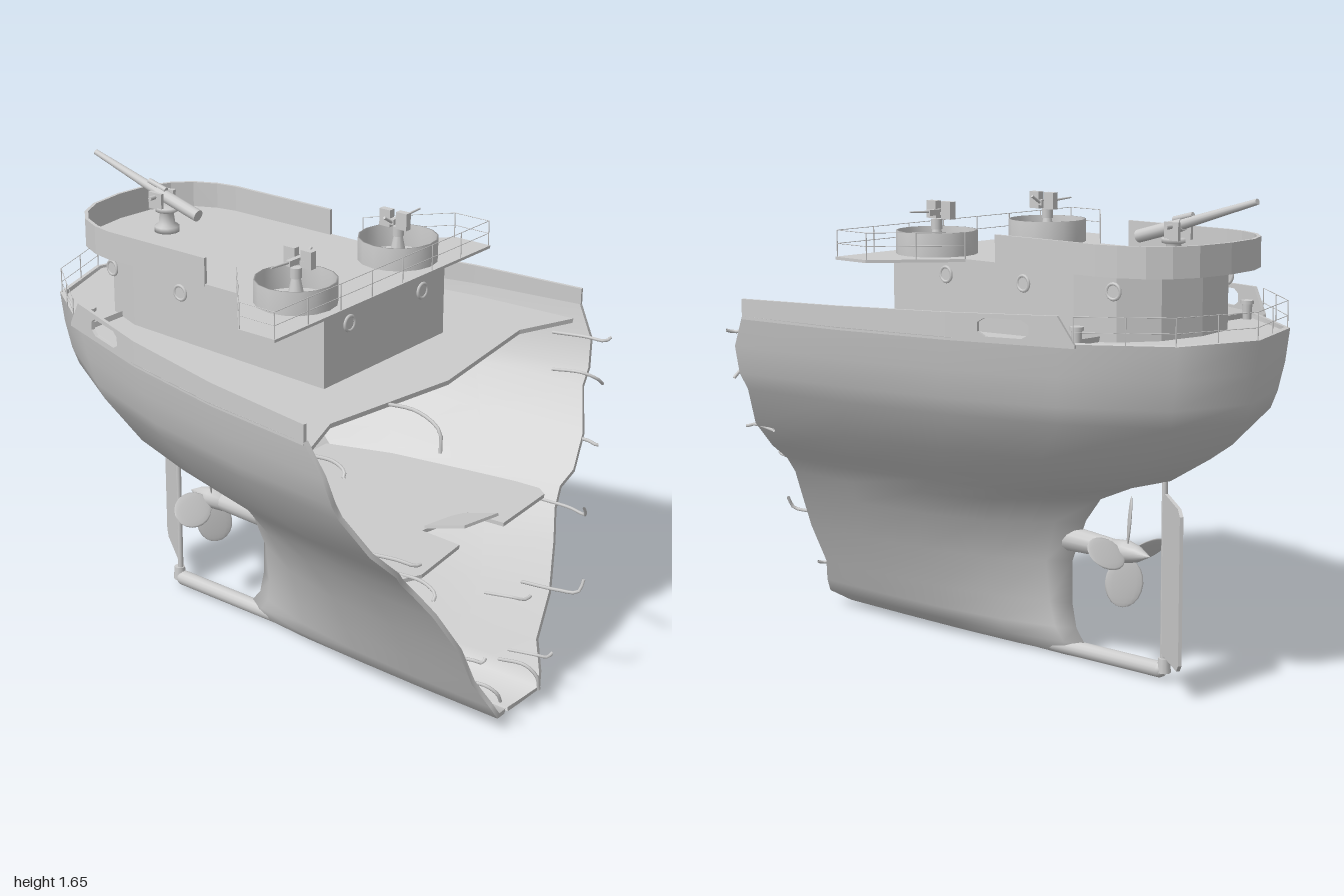
import * as THREE from 'three';

const mat = new THREE.MeshStandardMaterial({ color: 0xcccccc, side: THREE.DoubleSide });
const V = (x, y, z) => new THREE.Vector3(x, y, z);

function mesh(name, geo, parent, x = 0, y = 0, z = 0) {
  const m = new THREE.Mesh(geo, mat);
  m.name = name;
  m.position.set(x, y, z);
  parent.add(m);
  return m;
}
// Adds a copy reflected across x = 0
function mirror(obj, parent) {
  const g = new THREE.Group();
  g.name = obj.name + 'Mirrored';
  g.scale.x = -1;
  g.add(obj.clone());
  parent.add(g);
}
// Horizontal plate from [x, z] points
function plate(pts, h) {
  const s = new THREE.Shape(pts.map(([x, z]) => new THREE.Vector2(x, -z)));
  return new THREE.ExtrudeGeometry(s, { depth: h, bevelEnabled: false }).rotateX(-Math.PI / 2);
}
// Completes a half outline that runs from +x to the centre line
const both = (half) => [...half, ...half.filter((p) => p[0] > 0).reverse().map(([x, z]) => [-x, z])];

// Surface through rows of points
function grid(rows) {
  const n = rows[0].length, idx = [];
  for (let i = 0; i < rows.length - 1; i++)
    for (let j = 0; j < n - 1; j++) {
      const a = i * n + j, b = a + n;
      idx.push(a, a + 1, b + 1, a, b + 1, b);
    }
  const g = new THREE.BufferGeometry().setFromPoints(rows.flat());
  g.setIndex(idx);
  g.computeVertexNormals();
  return g;
}
// Straight rod between two points
function rod(name, a, b, r, parent, r2 = r, seg = 6) {
  const d = b.clone().sub(a);
  const m = mesh(name, new THREE.CylinderGeometry(r2, r, d.length(), seg), parent);
  m.position.copy(a).addScaledVector(d, 0.5);
  m.quaternion.setFromUnitVectors(V(0, 1, 0), d.normalize());
}
// Posts and two rails along [x, z] points
function railing(name, pts, y, h, parent) {
  const g = new THREE.Group();
  g.name = name;
  parent.add(g);
  pts.forEach(([x, z], i) => {
    rod('post', V(x, y, z), V(x, y + h, z), 0.002, g);
    if (!i) return;
    const [px, pz] = pts[i - 1];
    const n = Math.max(1, Math.round(Math.hypot(x - px, z - pz) / 0.17));
    for (let k = 1; k < n; k++) {
      const qx = px + (x - px) * k / n, qz = pz + (z - pz) * k / n;
      rod('post', V(qx, y, qz), V(qx, y + h, qz), 0.002, g);
    }
    for (const f of [0.5, 1]) rod('rail', V(px, y + h * f, pz), V(x, y + h * f, z), 0.0013, g);
  });
}

function hull(parent) {
  // Waterlines: height, half width, broken front z, stern z
  const levels = [
    [0.005, 0.01, 0.88, -0.25], [0.015, 0.06, 0.89, -0.26], [0.06, 0.13, 0.93, -0.26], [0.11, 0.157, 0.915, -0.22],
    [0.2, 0.2, 0.87, -0.2], [0.35, 0.275, 0.865, -0.2], [0.5, 0.36, 0.82, -0.26], [0.59, 0.42, 0.78, -0.33],
    [0.65, 0.47, 0.765, -0.47], [0.7, 0.52, 0.785, -0.64], [0.8, 0.62, 0.755, -0.81], [0.94, 0.7, 0.695, -0.95],
    [1.0, 0.735, 0.695, -0.97], [1.1, 0.765, 0.68, -0.99], [1.21, 0.78, 0.62, -1]];
  const U = [0, 0.26, 0.52, 0.75, 0.94, 1];
  const rows = levels.map(([y, w, zf, zs]) => {
    const F = y < 0.62 ? [1, 0.96, 0.85, 0.62, 0.24, 0] : [1, 0.93, 0.81, 0.64, 0.37, 0];
    return both(U.map((u, i) => [w * F[i], zf + (zs - zf) * u])).map(([x, z]) => V(x, y, z));
  });
  const outer = grid(rows), nrm = outer.attributes.normal, n = rows[0].length;
  mesh('hullPlating', outer, parent);
  // Inner skin follows the outer one at plate thickness and ends at a flat bulkhead
  const inner = rows.map((r, i) => r.map((p, j) =>
    p.clone().addScaledVector(V(0, 0, 0).fromBufferAttribute(nrm, i * n + j), -0.018)));
  for (const [a, b] of [[0, 4], [7, 11]])
    mesh('hullInnerSkin', grid(inner.map((r) => r.slice(a, b).reverse())), parent);
  mesh('bulkhead', grid(inner.map((r) => [r[7], r[3]])), parent);
  for (const j of [0, n - 1]) mesh('tornHullEdge', grid(rows.map((r, i) => [r[j], inner[i][j]])), parent);
  mesh('hullTopEdge', grid([rows.at(-1), inner.at(-1)]), parent);
}

function bulwark(parent) {
  const pts = [[0.78, 0.62], [0.725, 0.2], [0.632, -0.22], [0.49, -0.65]];
  const tops = [1.27, 1.28, 1.29, 1.3];
  for (let i = 0; i < 3; i++) {
    const [ax, az] = pts[i], [bx, bz] = pts[i + 1], L = Math.hypot(bx - ax, bz - az);
    const end = i === 2 ? L - 0.06 : L;
    const s = new THREE.Shape([[0, 1.2], [L, 1.2], [L, 1.21], [end, tops[i + 1]], [0, tops[i]]].map((p) => new THREE.Vector2(...p)));
    if (i === 2) {
      // Mooring opening
      const h = [[0.14, 1.22], [0.27, 1.22], [0.295, 1.235], [0.295, 1.265], [0.27, 1.28], [0.14, 1.28], [0.115, 1.265], [0.115, 1.235]];
      s.holes.push(new THREE.Path(h.map((p) => new THREE.Vector2(...p))));
    }
    const m = mesh('bulwark', new THREE.ExtrudeGeometry(s, { depth: 0.012, bevelEnabled: false }), parent, ax, 0, az);
    m.rotation.y = Math.atan2(az - bz, bx - ax);
    m.translateZ(-0.012);
    mirror(m, parent);
  }
}

function superstructure(parent) {
  mesh('deckhouse', plate(both([[0.33, 0.34], [0.33, -0.5], [0.28, -0.64], [0.17, -0.735], [0, -0.765]]), 0.255), parent, 0, 1.16, 0);
  const curve = [[0.34, -0.6], [0.325, -0.68], [0.285, -0.765], [0.225, -0.825], [0.14, -0.865], [0, -0.88]];
  mesh('upperDeck', plate(both([[0.59, 0.35], [0.59, 0.2], [0.34, -0.02], ...curve]), 0.01), parent, 0, 1.41, 0);
  // Stern gun platform wall
  const out = both([[0.342, -0.16], ...curve]);
  const inn = out.map(([x, z]) => [x * 0.965, z < -0.55 ? -0.55 + (z + 0.55) * 0.965 : z]).reverse();
  mesh('gunPlatformWall', plate([...out, ...inn], 0.1), parent, 0, 1.412, 0);
  railing('wingRailing', [[0.34, -0.02], [0.585, 0.2], [0.585, 0.345], [-0.585, 0.345], [-0.585, 0.2], [-0.34, -0.02]], 1.42, 0.09, parent);
  railing('sternRailing', both([[0.485, -0.64], [0.385, -0.77], [0.287, -0.893], [0.14, -0.943], [0, -0.992]]), 1.2, 0.1, parent);
  // Portholes
  const ring = new THREE.TorusGeometry(0.025, 0.006, 6, 16);
  for (const [x, z, q] of [[0.2, 0.342, 0], [0.332, 0.08, 1], [0.332, -0.28, 1], [0.29, -0.635, 1.1]]) {
    const g = new THREE.Group();
    g.name = 'porthole';
    g.position.set(x, 1.36, z);
    g.rotation.y = q * Math.PI / 2;
    mesh('rim', ring, g);
    mesh('glass', new THREE.CircleGeometry(0.022, 16), g, 0, 0, 0.002);
    parent.add(g);
    mirror(g, parent);
  }
}

function sideGun(parent) {
  const g = new THREE.Group();
  g.name = 'sideGun';
  g.position.set(0.277, 1.42, 0.18);
  const tub = [[0.14, 0], [0.14, 0.08], [0.134, 0.08], [0.134, 0]].map((p) => new THREE.Vector2(...p));
  mesh('tub', new THREE.LatheGeometry(tub, 16), g);
  mesh('pedestal', new THREE.CylinderGeometry(0.014, 0.032, 0.09, 10), g, 0, 0.045, 0);
  mesh('mount', new THREE.CylinderGeometry(0.02, 0.02, 0.035, 10), g, 0, 0.1, 0);
  mesh('receiver', new THREE.BoxGeometry(0.08, 0.02, 0.018), g, 0, 0.14, 0);
  rod('barrel', V(0.03, 0.143, 0), V(0.125, 0.148, 0), 0.005, g, 0.003);
  for (const z of [-0.035, 0.035]) mesh('shield', new THREE.BoxGeometry(0.025, 0.06, 0.045), g, -0.02, 0.147, z);
  mesh('shieldBrace', new THREE.BoxGeometry(0.01, 0.01, 0.08), g, -0.012, 0.135, 0);
  rod('shoulderRest', V(-0.04, 0.14, 0), V(-0.08, 0.165, 0), 0.005, g);
  parent.add(g);
  mirror(g, parent);
}

function mainGun(parent) {
  const g = new THREE.Group();
  g.name = 'sternGun';
  g.position.set(0, 1.42, -0.64);
  const base = [[0, 0], [0.045, 0], [0.045, 0.02], [0.03, 0.03], [0.025, 0.07], [0.04, 0.075], [0.04, 0.09], [0, 0.09]];
  mesh('pedestal', new THREE.LatheGeometry(base.map((p) => new THREE.Vector2(...p)), 14), g);
  for (const x of [-0.032, 0.032]) mesh('cradle', new THREE.BoxGeometry(0.012, 0.06, 0.06), g, x, 0.115, -0.02);
  rod('trunnion', V(-0.065, 0.13, -0.02), V(0.065, 0.13, -0.02), 0.008, g);
  rod('breech', V(0, 0.085, 0.15), V(0, 0.137, -0.04), 0.022, g, 0.022, 12);
  rod('barrel', V(0, 0.132, -0.02), V(0, 0.228, -0.34), 0.018, g, 0.01, 12);
  rod('recoilTube', V(0, 0.15, 0), V(0, 0.17, -0.08), 0.01, g, 0.01, 8);
  parent.add(g);
}

function sternGear(parent) {
  // Keel extension carrying the rudder
  const skeg = mesh('skeg', new THREE.CapsuleGeometry(0.028, 0.5, 6, 14).rotateX(Math.PI / 2), parent, 0, 0.038, -0.35);
  skeg.rotation.x = 0.015;
  mesh('rudderHeel', new THREE.CylinderGeometry(0.02, 0.024, 0.05, 10), parent, 0, 0.06, -0.62);
  // Rudder, put hard over
  const s = new THREE.Shape([[0, 0.1], [0.225, 0.105], [0.25, 0.13], [0.25, 0.63], [0.22, 0.65], [0.04, 0.66], [0, 0.64]].map((p) => new THREE.Vector2(...p)));
  const blade = mesh('rudder', new THREE.ExtrudeGeometry(s, { depth: 0.012, bevelEnabled: false }).translate(0, 0, -0.006), parent, 0, 0, -0.612);
  blade.rotation.y = Math.PI * 0.295;
  rod('rudderPost', V(0, 0.04, -0.615), V(0, 0.72, -0.615), 0.01, parent, 0.01, 8);
  // Propeller
  rod('shaftHousing', V(0, 0.43, -0.17), V(0, 0.425, -0.4), 0.046, parent, 0.034, 12);
  const prop = new THREE.Group();
  prop.name = 'propeller';
  prop.position.set(0, 0.425, -0.45);
  const hub = [[0, -0.06], [0.036, -0.06], [0.04, 0], [0.028, 0.05], [0, 0.105]];
  mesh('hub', new THREE.LatheGeometry(hub.map((p) => new THREE.Vector2(...p)), 14).rotateX(-Math.PI / 2), prop);
  for (let i = 0; i < 4; i++) {
    const arm = new THREE.Group();
    arm.name = 'bladeArm';
    arm.rotation.z = i * Math.PI / 2 + 0.12;
    const b = mesh('blade', new THREE.SphereGeometry(1, 14, 10).scale(0.066, 0.085, 0.006), arm, 0, 0.107, 0);
    b.rotation.y = 0.75;
    prop.add(arm);
  }
  parent.add(prop);
}

function wreckage(parent) {
  // Lower deck, torn at its front, with a bent-up plate
  const aft = both([[0.425, 0.6], [0.4, 0.44], [0.345, 0.12], [0.26, -0.13]]);
  const torn = [[-0.43, 0.74], [-0.36, 0.77], [-0.11, 0.74], [-0.1, 0.58], [0.11, 0.62], [0.12, 0.76], [0.4, 0.74], [0.43, 0.7]];
  mesh('lowerDeck', plate([...aft, ...torn], 0.014), parent, 0, 0.63, 0);
  const p = mesh('bentPlate', new THREE.BoxGeometry(0.19, 0.01, 0.17), parent, 0, 0.67, 0.67);
  p.rotation.set(-0.3, 0, -0.12);
  // Twisted rods: x, y, start z, reach, sideways bend, drop
  const rods = [[-0.72, 1.14, 0.64, 0.11, -0.03, -0.02], [-0.27, 1.15, 0.58, 0.2, -0.02, -0.1], [0.66, 1.13, 0.64, 0.14, 0.06, 0.01],
    [0.62, 1.01, 0.67, 0.1, 0.08, -0.04], [-0.57, 0.78, 0.75, 0.13, 0.05, 0], [0.6, 0.78, 0.74, 0.08, 0.01, 0],
    [-0.4, 0.64, 0.74, 0.14, -0.05, -0.02], [0.4, 0.62, 0.76, 0.18, -0.06, 0.05], [0.02, 0.42, 0.82, 0.08, 0.07, 0.005],
    [0.23, 0.38, 0.83, 0.16, 0.05, 0.06], [-0.2, 0.28, 0.84, 0.06, 0.03, 0.02], [-0.17, 0.18, 0.86, 0.08, 0.04, -0.05],
    [0.06, 0.16, 0.86, 0.09, 0.03, -0.08], [0.12, 0.17, 0.86, 0.08, 0.06, 0.01]];
  for (const [x, y, z, r, dx, dy] of rods) {
    const c = new THREE.CatmullRomCurve3([V(x, y, z - 0.06), V(x + dx * 0.2, y + 0.01, z + r * 0.5),
      V(x + dx * 0.6, y + dy * 0.3, z + r * 0.95), V(x + dx, y + dy, z + r)]);
    mesh('twistedRod', new THREE.TubeGeometry(c, 12, 0.006, 6), parent);
  }
}

export function createModel() {
  const ship = new THREE.Group();
  ship.name = 'brokenShipStern';
  hull(ship);
  bulwark(ship);
  // Main deck, rising slightly toward the stern
  const deck = both([[0.71, 0.2], [0.615, -0.22], [0.48, -0.59], [0.275, -0.88], [0, -0.975]]);
  const d = mesh('mainDeck', plate([[0.76, 0.61], ...deck, [-0.76, 0.61], [-0.53, 0.525], [0, 0.6], [0.53, 0.525]], 0.016), ship, 0, 1.162, 0);
  d.rotation.x = 0.028;
  superstructure(ship);
  sideGun(ship);
  mainGun(ship);
  // Mooring bollards
  const b = mesh('bollard', new THREE.CylinderGeometry(0.018, 0.014, 0.07, 10), ship, 0.435, 1.22, -0.61);
  mesh('bollardCap', new THREE.CylinderGeometry(0.023, 0.023, 0.012, 10), b, 0, 0.035, 0);
  mirror(b, ship);
  sternGear(ship);
  wreckage(ship);
  return ship;
}
